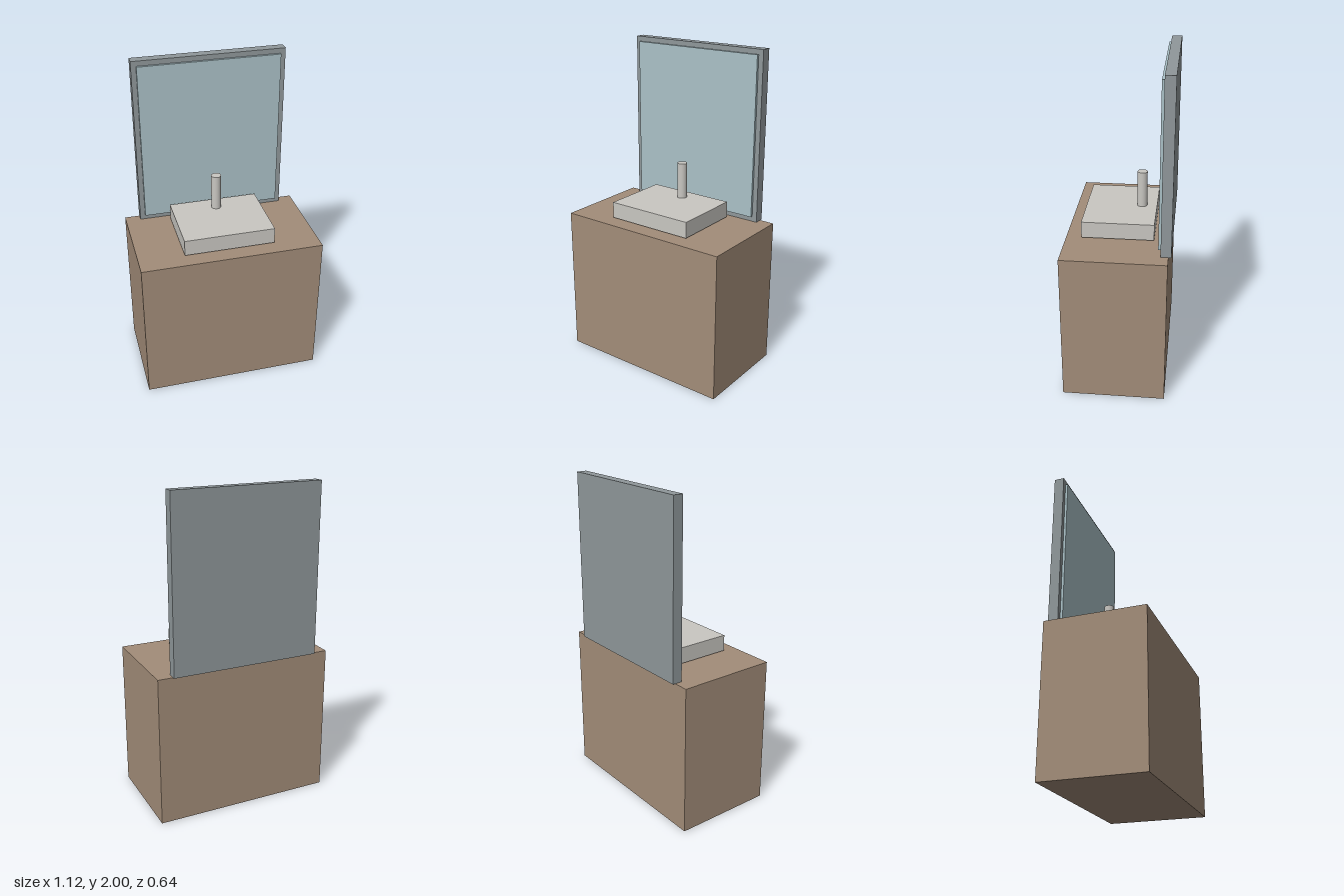
import * as THREE from 'three';

const paint = (name, color) => {
  const m = new THREE.MeshStandardMaterial({ color });
  m.name = name;
  return m;
};

export function createModel() {
  const group = new THREE.Group();
  group.name = 'washstand';

  const wood = paint('brown wood', 0xa38d79);
  const metal = paint('grey frame', 0x90989b);
  const glass = paint('pale blue glass', 0xabc2c8);
  const ceramic = paint('light grey ceramic', 0xc9c7c2);

  const add = (name, geometry, material, x, y, z) => {
    const mesh = new THREE.Mesh(geometry, material);
    mesh.name = name;
    mesh.position.set(x, y, z);
    group.add(mesh);
  };
  // Box given by its width and its y and z extents, centred on x = 0
  const slab = (name, material, w, y0, y1, z0, z1) =>
    add(name, new THREE.BoxGeometry(w, y1 - y0, z1 - z0), material, 0, (y0 + y1) / 2, (z0 + z1) / 2);

  // Cabinet and the basin resting just above its top
  slab('cabinet', wood, 1.125, 0, 0.9375, -0.304, 0.321);
  slab('basin', ceramic, 0.5625, 0.945, 1.046, -0.21, 0.227);

  // Upright faucet at the back of the basin
  add('faucet', new THREE.CylinderGeometry(0.031, 0.031, 0.235, 24), ceramic, 0, 1.154, -0.117);

  // Mirror: solid backing frame with a raised glass panel
  slab('mirrorFrame', metal, 0.9375, 0.9375, 2, -0.321, -0.2585);
  slab('mirrorGlass', glass, 0.875, 0.969, 1.969, -0.2585, -0.243);

  return group;
}
